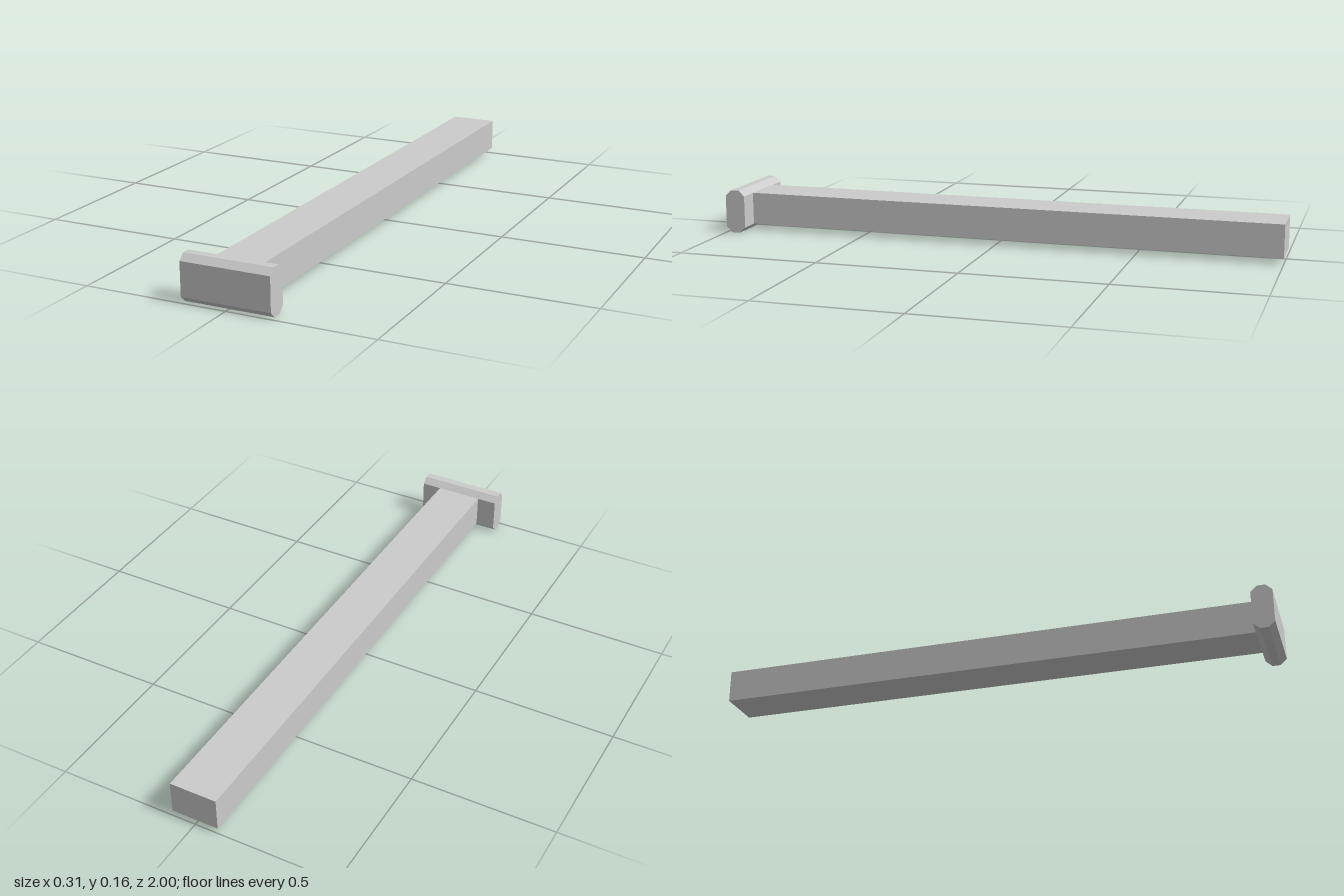
import * as THREE from 'three';

export function createModel() {
  const group = new THREE.Group();
  const material = new THREE.MeshStandardMaterial({ color: 0xcccccc, flatShading: true });
  const add = (name, geometry, x, y, z) => {
    const mesh = new THREE.Mesh(geometry, material);
    mesh.name = name;
    mesh.position.set(x, y, z);
    group.add(mesh);
  };

  // Long rectangular shaft, ending at the back face of the head
  const headBack = 0.927;
  const shaftLength = headBack + 1;
  add('shaft', new THREE.BoxGeometry(0.166, 0.115, shaftLength), 0, 0.0785, -1 + shaftLength / 2);

  // Head plate: bevelled along its top and bottom edges, extruded across x
  const width = 0.31, halfHeight = 0.078, halfDepth = (1 - headBack) / 2;
  const bevelY = 0.0205, bevelZ = 0.022;
  const d = halfDepth, h = halfHeight;
  const profile = new THREE.Shape([
    [-d + bevelZ, -h], [d - bevelZ, -h], [d, -h + bevelY], [d, h - bevelY],
    [d - bevelZ, h], [-d + bevelZ, h], [-d, h - bevelY], [-d, -h + bevelY],
  ].map(([z, y]) => new THREE.Vector2(z, y)));
  const head = new THREE.ExtrudeGeometry(profile, { depth: width, bevelEnabled: false });
  head.translate(0, 0, -width / 2).rotateY(Math.PI / 2);
  add('headPlate', head, 0, halfHeight, 1 - halfDepth);

  return group;
}
